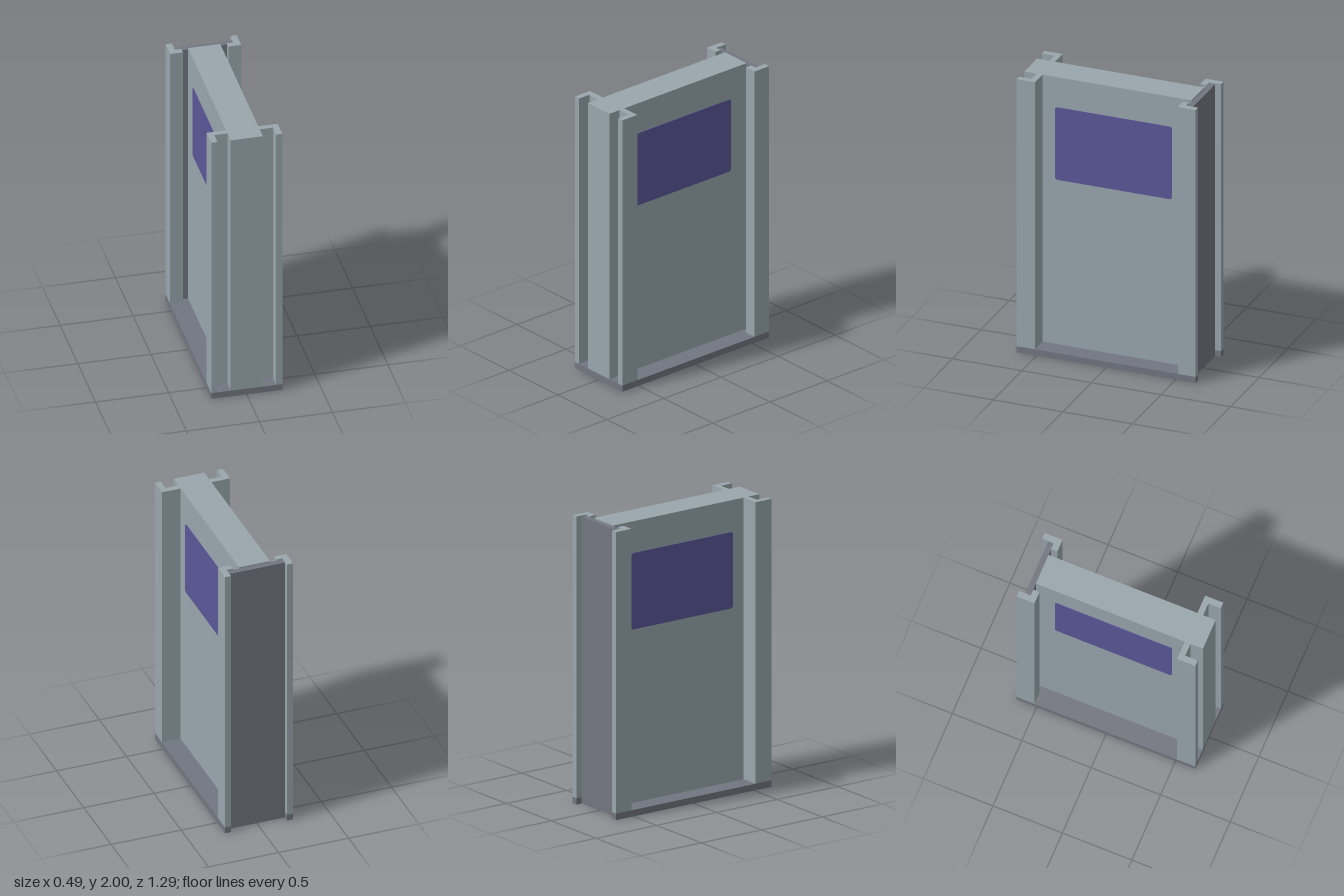
import * as THREE from 'three';

export function createModel() {
  const model = new THREE.Group();
  const material = (name, color) => {
    const m = new THREE.MeshStandardMaterial({ color });
    m.name = name;
    return m;
  };
  const bodyGrey = material('bodyGrey', 0x98a7ad);
  const darkGrey = material('darkGrey', 0x727680);
  const violet = material('violet', 0x5a5799);

  const add = (name, geometry, mat) => {
    const mesh = new THREE.Mesh(geometry, mat);
    mesh.name = name;
    model.add(mesh);
    return mesh;
  };

  // Extrudes a floor plan of [x, z] corners between two heights
  const extrudePlan = (plan, y0, y1) => {
    const shape = new THREE.Shape(plan.map(([x, z]) => new THREE.Vector2(x, -z)));
    const g = new THREE.ExtrudeGeometry(shape, { depth: y1 - y0, bevelEnabled: false });
    return g.rotateX(-Math.PI / 2).translate(0, y0, 0);
  };

  const W = 0.243, D = 0.643, H = 2, BASE = 0.045;

  // Base plate, notched at the back
  add('base', extrudePlan([
    [-W, D], [W, D], [W, -D], [0.2, -D], [0.2, -0.6], [-0.2, -0.6], [-0.2, -D], [-W, -D],
  ], 0, BASE), darkGrey);

  // Central slab
  add('slab', extrudePlan([[-0.11, D], [0.11, D], [0.11, -0.56], [-0.11, -0.56]], BASE, H), bodyGrey);

  // Back panel between the rear posts
  add('backPanel', extrudePlan([
    [-0.2, -0.6], [0.2, -0.6], [0.2, -0.56], [-0.2, -0.56],
  ], BASE, H - 0.01), darkGrey);

  // Label plate outline with clipped corners
  const a = 0.42, b = 0.265, c = 0.012;
  const labelShape = new THREE.Shape([
    [-a + c, -b], [a - c, -b], [a, -b + c], [a, b - c],
    [a - c, b], [-a + c, b], [-a, b - c], [-a, -b + c],
  ].map(([x, y]) => new THREE.Vector2(x, y)));

  for (const s of [-1, 1]) {
    const side = s > 0 ? 'left' : 'right';

    // Front L-shaped post, joined to the slab
    add(side + 'FrontPost', extrudePlan([
      [0.11, 0.512], [W, 0.512], [W, D], [0.2, D], [0.2, 0.553], [0.11, 0.553],
    ].map(([x, z]) => [s * x, z]), BASE, H), bodyGrey);

    // Rear L-shaped post, with a gap to the slab
    add(side + 'RearPost', extrudePlan([
      [0.155, -0.515], [W, -0.515], [W, -D], [0.2, -D], [0.2, -0.56], [0.155, -0.56],
    ].map(([x, z]) => [s * x, z]), BASE, H), bodyGrey);

    // Thin coloured plate on the slab face
    const label = add(side + 'Label',
      new THREE.ExtrudeGeometry(labelShape, { depth: 0.004, bevelEnabled: false }), violet);
    label.rotation.y = s * Math.PI / 2;
    label.position.set(s * 0.11, 1.515, 0);
  }

  return model;
}
